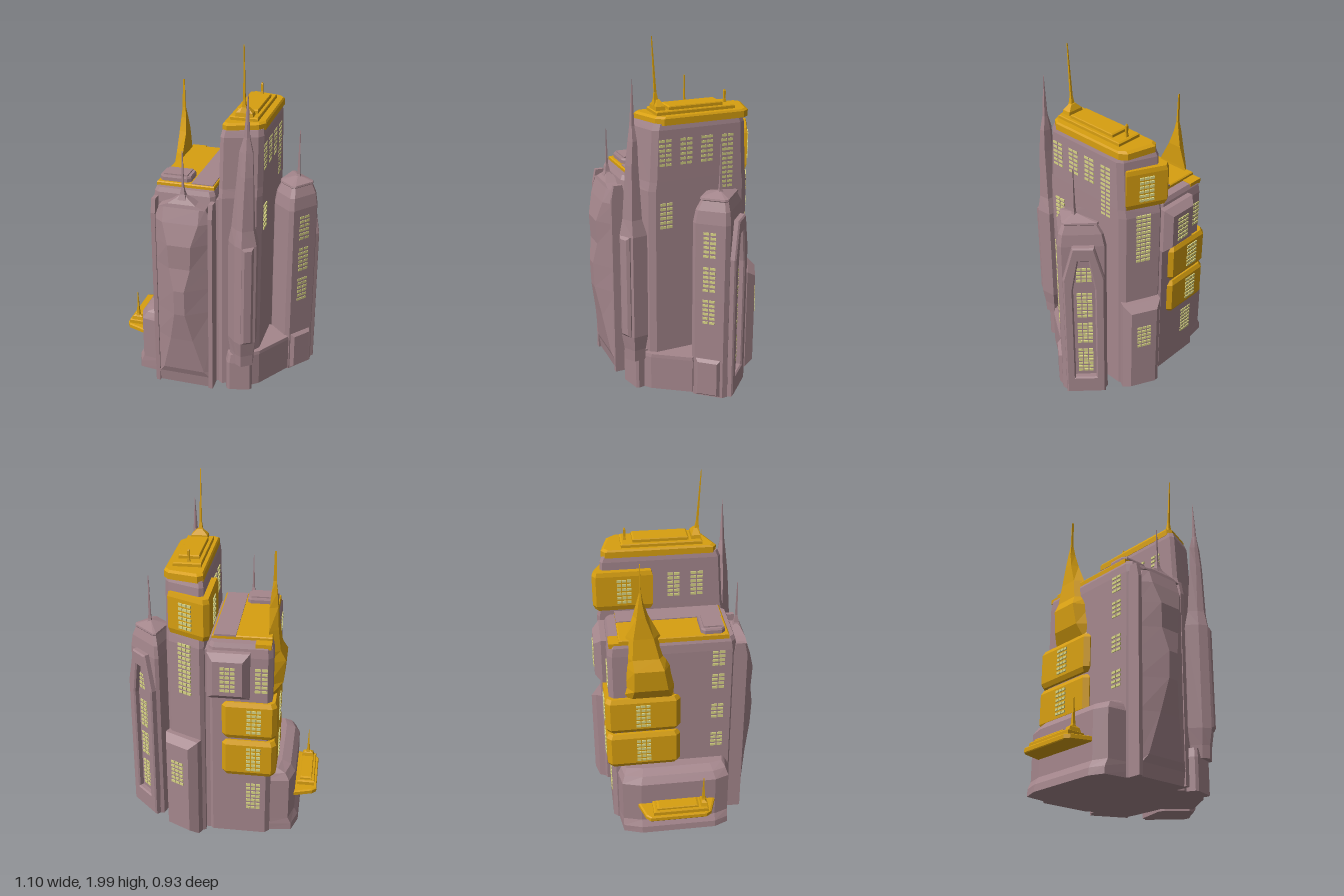
import * as THREE from 'three';
import { mergeGeometries } from 'three/addons/utils/BufferGeometryUtils.js';

const MAUVE = new THREE.MeshStandardMaterial({ color: 0xa4868c });
const GOLD = new THREE.MeshStandardMaterial({ color: 0xd79f10 });
const GLOW = new THREE.MeshStandardMaterial({ color: 0xd6d284 });

// Faceted solid through matching rings of [x, y, z] points, capped at both ends
function loft(rings) {
  const tris = [], n = rings[0].length;
  for (let r = 0; r < rings.length - 1; r++) {
    for (let i = 0; i < n; i++) {
      const j = (i + 1) % n, [a, b] = [rings[r], rings[r + 1]];
      tris.push([a[i], b[i], b[j]], [a[i], b[j], a[j]]);
    }
  }
  const first = rings[0], last = rings[rings.length - 1];
  for (let i = 1; i < n - 1; i++) {
    tris.push([first[0], first[i], first[i + 1]], [last[0], last[i + 1], last[i]]);
  }
  // Turn every face outward using the signed volume
  let volume = 0;
  const v = () => new THREE.Vector3();
  for (const [a, b, c] of tris) {
    volume += v().fromArray(a).dot(v().fromArray(b).cross(v().fromArray(c)));
  }
  const points = tris.flatMap(([a, b, c]) => (volume > 0 ? [a, b, c] : [a, c, b])).flat();
  const geometry = new THREE.BufferGeometry();
  geometry.setAttribute('position', new THREE.Float32BufferAttribute(points, 3));
  geometry.computeVertexNormals();
  return geometry;
}

// Cuts every corner of a footprint of [x, z] points
function chamfer(poly, c) {
  return poly.flatMap((p, i) => {
    const n = poly.length;
    return [poly[(i + n - 1) % n], poly[(i + 1) % n]].map((q) => {
      const t = c / Math.hypot(q[0] - p[0], q[1] - p[1]);
      return [p[0] + (q[0] - p[0]) * t, p[1] + (q[1] - p[1]) * t];
    });
  });
}
const rect = (x0, x1, z0, z1) => [[x0, z0], [x1, z0], [x1, z1], [x0, z1]];

export function createModel() {
  const model = new THREE.Group();
  const add = (name, geometry, material) => {
    const mesh = new THREE.Mesh(geometry, material);
    mesh.name = name;
    model.add(mesh);
    return mesh;
  };

  // Footprint scaled about its middle at levels of [y, scaleX, scaleZ, shiftX, shiftZ]
  const stack = (name, material, poly, levels) => {
    const mid = (k) => (Math.min(...poly.map((p) => p[k])) + Math.max(...poly.map((p) => p[k]))) / 2;
    const cx = mid(0), cz = mid(1);
    return add(name, loft(levels.map(([y, sx = 1, sz = sx, dx = 0, dz = 0]) =>
      poly.map(([x, z]) => [cx + dx + (x - cx) * sx, y, cz + dz + (z - cz) * sz]))), material);
  };

  // Bevelled relief on a wall: facing angle, width, height, depth, bevel
  const panel = (name, material, [x, y, z], angle, w, h, d, bevel) => {
    const ring = (b, depth) => [[-1, -1], [1, -1], [1, 1], [-1, 1]].map(([sx, sy]) =>
      [sx * (w / 2 - b), sy * (h / 2 - b), depth]);
    const mesh = add(name, loft([ring(0, -0.03), ring(0, d * 0.4), ring(bevel, d)]), material);
    mesh.position.set(x, y, z);
    mesh.rotation.y = angle;
  };

  // Lit windows: a grid of small slabs on a wall, listed from the bottom row
  const windows = (x, y0, y1, z, angle, cols = 2, pitch = 0.037) => {
    const slabs = [], rows = Math.round((y1 - y0) / 0.026);
    for (let r = 0; r < rows; r++) {
      for (let c = 0; c < cols; c++) {
        slabs.push(new THREE.BoxGeometry(pitch * 0.82, 0.014, 0.008)
          .translate((c - (cols - 1) / 2) * pitch, (r + 0.5) * 0.026, 0));
      }
    }
    const mesh = add('windows', mergeGeometries(slabs), GLOW);
    mesh.position.set(x, y0, z);
    mesh.rotation.y = angle;
  };

  const antenna = (name, material, x, z, y0, y1, r, lean = 0) => {
    const needle = [[y0, r], [y0 + 0.03, r * 0.55], [y0 + 0.07, 0.006], [y1, 0.002]];
    add(name, loft(needle.map(([y, s]) => [[-s, -s], [s, -s], [s, s], [-s, s]].map(([a, b]) =>
      [x + a, y, z + b + lean * (y - y0)]))), material);
  };

  const E = Math.PI / 2, N = Math.PI, W = -Math.PI / 2;
  const SE = 0.89, NE = 2.38, SLANT = 2.68;

  // Lower west tower with its roof
  stack('westTower', MAUVE, chamfer(rect(-0.295, 0.055, -0.385, 0.32), 0.025),
    [[0.02], [1.15], [1.2, 0.98], [1.225, 0.92, 0.95]]);
  stack('towerJoint', MAUVE, rect(0.02, 0.1, -0.37, 0.29), [[0.02], [1.18]]);
  stack('westRoof', GOLD, rect(-0.285, 0.04, -0.32, 0.275), [[1.21], [1.24], [1.245, 0.98]]);
  stack('roofBackLedge', GOLD, rect(-0.285, -0.2, -0.375, -0.3), [[1.2], [1.228]]);
  stack('roofWalk', MAUVE, rect(-0.09, 0.03, -0.32, 0.265), [[1.24], [1.25]]);
  stack('roofPad', MAUVE, chamfer(rect(-0.275, -0.1, 0.125, 0.255), 0.02), [[1.24], [1.265], [1.275, 0.95]]);
  stack('roofPadTop', MAUVE, rect(-0.255, -0.12, 0.14, 0.24), [[1.27], [1.282]]);

  // Sculpted front bay: flat ridge of varying half width and reach
  const bay = [[0.02, 0.15, 0.365], [0.09, 0.15, 0.375], [0.13, 0.12, 0.39], [0.35, 0.065, 0.42], [0.53, 0.03, 0.45],
    [0.68, 0.03, 0.455], [0.81, 0.06, 0.435], [0.95, 0.065, 0.44], [1.07, 0.1, 0.41], [1.15, 0.1, 0.385]];
  const c = -0.112;
  add('frontBay', loft(bay.map(([y, h, z]) => {
    const w = y > 1.1 ? 0.13 : 0.16;
    return [[c - w, y, 0.3], [c - w, y, 0.365], [c - h, y, z], [c + h, y, z], [c + w, y, 0.365], [c + w, y, 0.3]];
  })), MAUVE);
  stack('frontBayCap', MAUVE, rect(-0.242, 0.018, 0.3, 0.385), [[1.15], [1.17, 0.6, 0.9], [1.2, 0.25, 0.5], [1.215, 0.1]]);
  antenna('frontBayAntenna', MAUVE, c, 0.345, 1.19, 1.46, 0.025);
  for (const x of [-0.275, 0.045]) {
    stack('frontBayRib', MAUVE, rect(x - 0.012, x + 0.012, 0.3, 0.38), [[0.02], [1.1], [1.18, 1, 0.6]]);
  }

  // Tall east tower with a slanted footprint
  const east = [[0.07, 0.32], [0.07, -0.425], [0.29, -0.325], [0.29, 0.235]];
  stack('eastTower', MAUVE, chamfer(east, 0.025),
    [[0.02], [1.2], [1.25, 1, 0.97], [1.53, 0.98, 0.92], [1.565, 0.92, 0.88]]);
  const slab = chamfer([[0.075, 0.27], [0.075, -0.385], [0.29, -0.33], [0.29, 0.19]], 0.03);
  stack('eastRoofSlab', GOLD, slab, [[1.555], [1.59], [1.6, 0.94]]);
  stack('eastRoofStep', GOLD, rect(0.1, 0.25, -0.265, 0.185), [[1.59], [1.615], [1.62, 0.96]]);
  stack('eastRoofTop', GOLD, rect(0.12, 0.232, -0.2, 0.11), [[1.61], [1.635], [1.64, 0.95]]);
  stack('mastBase', GOLD, rect(0.125, 0.225, 0.125, 0.18), [[1.61], [1.64, 0.9], [1.67, 0.3]]);
  antenna('eastMast', GOLD, 0.172, 0.16, 1.64, 2, 0.02, 0.06);
  antenna('smallMast', GOLD, 0.17, -0.24, 1.61, 1.69, 0.01);
  for (const z of [0.155, 0.035, -0.085]) windows(0.287, 1.33, 1.48, z, E);
  windows(0.287, 1.17, 1.48, -0.205, E);
  windows(0.292, 0.98, 1.13, 0.15, E);
  windows(0.069, 1.3, 1.46, 0.15, W);
  windows(0.069, 1.3, 1.46, 0.02, W);

  // Gold lookout wrapped around the tower's back corner
  const lookout = [[0.035, -0.1], [0.035, -0.415], [0.065, -0.435], [0.27, -0.335], [0.25, -0.3], [0.08, -0.1]];
  stack('goldLookout', GOLD, lookout, [[1.25, 0.92], [1.28], [1.46], [1.485, 0.95]]);
  windows(0.17, 1.29, 1.45, -0.388, SLANT, 3, 0.028);
  windows(0.033, 1.29, 1.45, -0.26, W, 3, 0.028);
  windows(0.18, 0.9, 1.2, -0.378, SLANT, 3, 0.028);
  panel('slantedBackBay', MAUVE, [0.19, 0.33, -0.37], SLANT, 0.22, 0.62, 0.075, 0.035);
  windows(0.224, 0.35, 0.5, -0.438, SLANT, 3, 0.028);

  // Back of the west tower
  panel('upperBackBay', MAUVE, [-0.06, 1.05, -0.385], N, 0.23, 0.27, 0.065, 0.035);
  windows(-0.06, 0.97, 1.13, -0.451, N, 3, 0.028);
  windows(-0.235, 0.94, 1.1, -0.386, N);
  windows(-0.2, 0.18, 0.36, -0.386, N, 3, 0.028);
  for (const y of [0.5, 0.7, 0.9, 1.05]) windows(-0.296, y, y + 0.11, 0.22, W);

  // Two gold modules wrapped around the back corner
  for (const y of [0.42, 0.66]) {
    stack('goldModule', GOLD, chamfer(rect(-0.325, -0.02, -0.408, 0.01), 0.025),
      [[y, 0.92, 0.94], [y + 0.025], [y + 0.2], [y + 0.225, 0.92, 0.94]]);
    windows(-0.327, y + 0.035, y + 0.19, -0.2, W, 3, 0.028);
    windows(-0.2, y + 0.035, y + 0.19, -0.41, N, 3, 0.028);
  }

  // Gold side fin rising to a spire: [y, outer x, back z, front z]
  const fin = [[0.88, -0.31, -0.33, 0.03], [0.95, -0.345, -0.31, 0], [1.08, -0.355, -0.3, -0.03], [1.14, -0.325, -0.3, -0.06],
    [1.26, -0.31, -0.28, -0.1], [1.38, -0.303, -0.24, -0.16], [1.46, -0.296, -0.22, -0.185], [1.52, -0.289, -0.205, -0.195],
    [1.685, -0.286, -0.202, -0.198]];
  add('goldFin', loft(fin.map(([y, x, z0, z1]) => {
    const inner = y > 1.3 ? -0.565 - x + 0.004 : -0.262, k = (z1 - z0) * 0.2;
    return [[inner, y, z0], [x, y, z0 + k], [x, y, z1 - k], [inner, y, z1]];
  })), GOLD);

  // Low west wing with a landing pad
  const wing = [[-0.25, -0.36], [-0.4, -0.335], [-0.43, -0.23], [-0.43, 0.2], [-0.4, 0.28], [-0.25, 0.3]];
  stack('westWing', MAUVE, wing, [[0.02, 1.14, 1, -0.012], [0.06, 1.1, 1, -0.012], [0.1], [0.36], [0.4, 0.85, 0.95, 0.015], [0.42, 0.55, 0.9, 0.04]]);
  const pad = [[-0.42, -0.25], [-0.53, -0.215], [-0.555, -0.19], [-0.555, 0.13], [-0.535, 0.16], [-0.42, 0.2]];
  stack('landingPad', GOLD, pad, [[0.195, 0.95], [0.2], [0.22], [0.225, 0.95]]);
  stack('padStep', GOLD, rect(-0.54, -0.44, -0.17, 0.145), [[0.22], [0.245], [0.25, 0.94]]);
  stack('padTop', GOLD, rect(-0.525, -0.455, -0.15, 0.09), [[0.245], [0.26], [0.265, 0.9]]);
  stack('padMastBase', GOLD, rect(-0.53, -0.45, 0.1, 0.14), [[0.24], [0.27, 0.75], [0.28, 0.4]]);
  antenna('padMast', GOLD, -0.49, 0.12, 0.26, 0.43, 0.015);

  // Front spire pod leaning on the slanted wall
  const pod = [[0.13, 0.315], [0.2, 0.24], [0.285, 0.26], [0.295, 0.345], [0.225, 0.395], [0.18, 0.37]];
  stack('spirePod', MAUVE, pod, [[0.2, 0.8, 0.75], [0.27, 0.85, 0.8], [0.36], [0.96], [1.05, 0.78, 0.7, 0, 0.005],
    [1.35, 0.55, 0.45, 0.01, 0.005], [1.48, 0.45, 0.32, 0.012], [1.56, 0.2, 0.18, 0.015], [1.8, 0.015, 0.015, 0.017, -0.005]]);
  panel('spireRidge', MAUVE, [0.25, 0.66, 0.37], 0.5, 0.07, 0.6, 0.02, 0.015);
  stack('podBase', MAUVE, chamfer([[0.115, 0.31], [0.14, 0.36], [0.275, 0.325], [0.25, 0.2], [0.12, 0.24]], 0.012),
    [[0.02], [0.2], [0.25, 0.88]]);
  stack('lowCourt', MAUVE, [[0.25, 0.29], [0.3, 0.25], [0.43, 0.05], [0.38, -0.05], [0.25, -0.06]], [[0.02], [0.22], [0.24, 0.96]]);

  // Turned corner tower with a pyramid roof
  const corner = chamfer([[0.35, -0.29], [0.555, -0.1], [0.42, 0.065], [0.285, -0.06]], 0.022);
  stack('cornerTower', MAUVE, corner, [[0.01, 0.98], [0.25, 0.96], [0.6, 0.97], [1.05, 0.97], [1.12, 0.88], [1.17, 0.7], [1.175, 0.74],
    [1.185, 0.72], [1.21, 0.08, 0.08, 0.003, 0.01]]);
  antenna('cornerMast', MAUVE, 0.423, -0.103, 1.19, 1.475, 0.015);
  panel('cornerFoot', MAUVE, [0.475, 0.13, -0.025], SE, 0.14, 0.23, 0.03, 0.015);
  for (const y of [0.46, 0.655, 0.855]) windows(0.482, y, y + 0.16, -0.018, SE);

  // Tapered raised frame on the tower's back face
  const outline = (w, top, y0) => [[-w, y0], [w, y0], [w, top - 0.2], [w * 0.5, top], [-w * 0.5, top], [-w, top - 0.2]]
    .map(([x, y]) => new THREE.Vector2(x, y));
  const frameShape = new THREE.Shape(outline(0.105, 1.05, 0.02));
  frameShape.holes.push(new THREE.Path(outline(0.068, 0.98, 0.12)));
  const frame = add('cornerFrame', new THREE.ExtrudeGeometry(frameShape,
    { depth: 0.03, bevelSize: 0.008, bevelThickness: 0.008, bevelSegments: 1 }), MAUVE);
  frame.position.set(0.447, 0, -0.19);
  frame.rotation.y = NE;
  for (const [a, b] of [[0.15, 0.33], [0.37, 0.53], [0.56, 0.74], [0.81, 0.91]]) windows(0.451, a, b, -0.195, NE, 3, 0.03);

  return model;
}
